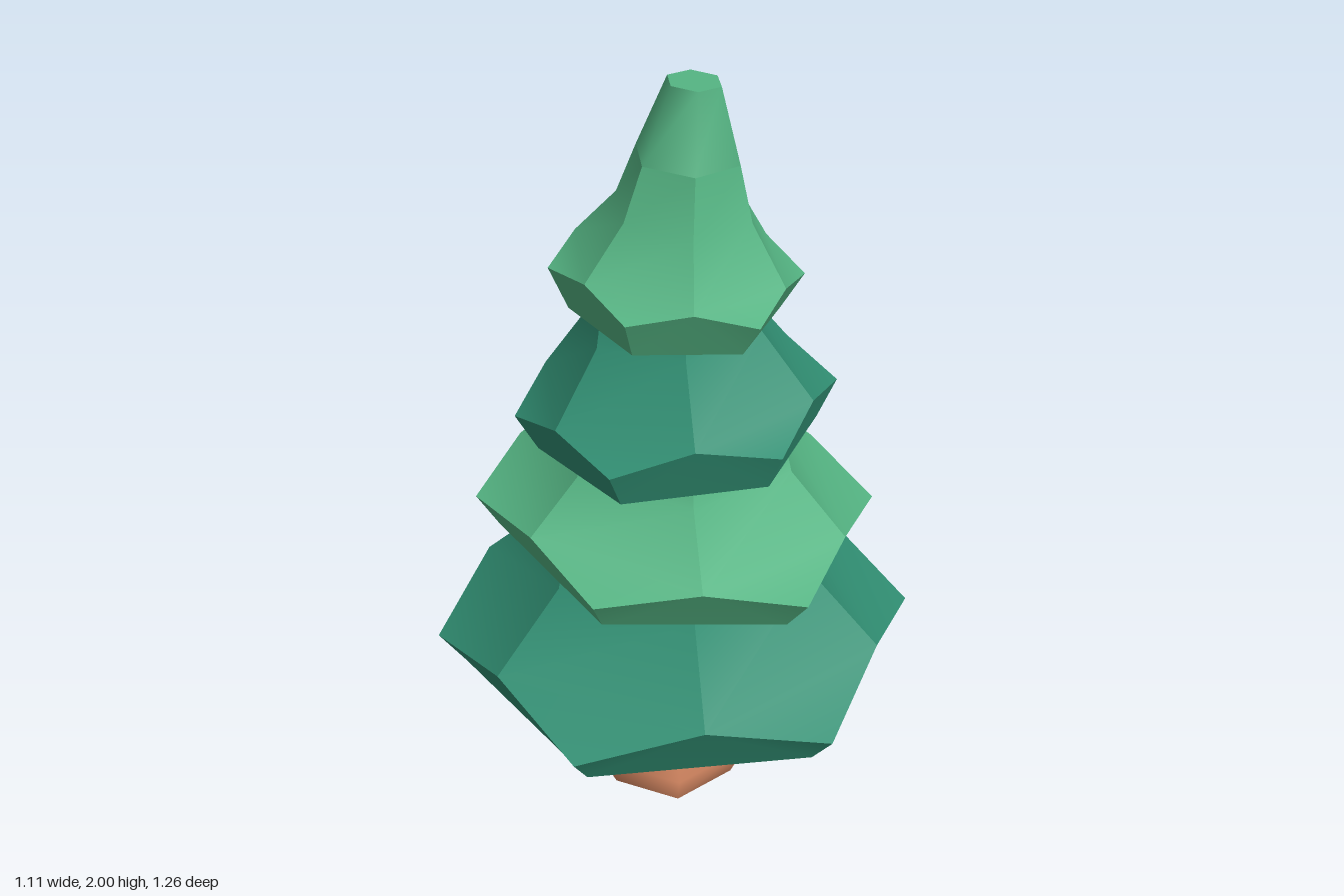
import * as THREE from 'three';
import { mergeGeometries } from 'three/addons/utils/BufferGeometryUtils.js';

// A ring is { r, y, x, s }: radius, height, sideways shift, slope along x
const ring = (r, y, x = 0, s = 0) => ({ r, y, x, s });

function at(g, deg) {
  const a = THREE.MathUtils.degToRad(deg);
  const dx = g.r * Math.sin(a);
  return [g.x + dx, g.y + g.s * dx, g.r * Math.cos(a)];
}

// Small patch, smooth inside and sharp at its border
function patch(points, index) {
  const geo = new THREE.BufferGeometry();
  geo.setAttribute('position', new THREE.Float32BufferAttribute(points.flat(), 3));
  geo.setIndex(index);
  geo.computeVertexNormals();
  return geo;
}

// Flat six-sided end facing up or down
function cap(g, start, up) {
  const pts = [[g.x, g.y, 0]];
  const index = [];
  for (let k = 0; k < 6; k++) {
    pts.push(at(g, start + k * 60));
    const a = k + 1, b = ((k + 1) % 6) + 1;
    index.push(0, ...(up ? [a, b] : [b, a]));
  }
  return patch(pts, index);
}

// Six-sided wall through several rings, smooth all round
function wall(rings, start) {
  const pts = [];
  const index = [];
  rings.forEach((g, j) => {
    for (let k = 0; k < 6; k++) {
      pts.push(at(g, start + k * 60));
      if (j === 0) continue;
      const a = (j - 1) * 6 + k, b = (j - 1) * 6 + ((k + 1) % 6);
      index.push(a, b, b + 6, a, b + 6, a + 6);
    }
  });
  return patch(pts, index);
}

// Faceted skirt: low corners, raised edge middles, turned hexagon above
function skirt({ base, corner, mid, shoulder, neck }) {
  const parts = [cap(base, 0, false)];
  for (let a = 0; a < 360; a += 60) {
    const l = a - 30, r = a + 30, n = a + 60;
    parts.push(patch(
      [at(mid, l), at(corner, a), at(mid, r), at(shoulder, l), at(shoulder, r), at(neck, l), at(neck, r)],
      [0, 1, 2, 0, 2, 4, 0, 4, 3, 3, 4, 6, 3, 6, 5]));
    parts.push(patch(
      [at(base, a), at(base, n), at(corner, n), at(mid, r), at(corner, a)],
      [0, 1, 3, 1, 2, 3, 0, 3, 4]));
  }
  return mergeGeometries(parts);
}

export function createModel() {
  const material = (name, color) => {
    const m = new THREE.MeshStandardMaterial({ color });
    m.name = name;
    return m;
  };
  const dark = material('dark green', 0x318f73);
  const light = material('light green', 0x54b382);
  const bark = material('bark', 0xd98a64);

  const tree = new THREE.Group();
  tree.name = 'tree';
  const add = (name, geo, mat) => {
    const mesh = new THREE.Mesh(geo, mat);
    mesh.name = name;
    tree.add(mesh);
  };

  // Trunk with a swollen foot
  const trunk = [
    ring(0.185, 0, -0.018), ring(0.23, 0.1, -0.02),
    ring(0.16, 0.25, -0.02), ring(0.147, 0.44, -0.02),
  ];
  add('trunk', mergeGeometries([wall(trunk, 30), cap(trunk[0], 30, false)]), bark);

  // Foliage tiers, alternately tilted
  add('bottomTier', skirt({
    base: ring(0.56, 0.4),
    corner: ring(0.63, 0.495),
    mid: ring(0.557, 0.57),
    shoulder: ring(0.365, 0.755),
    neck: ring(0.335, 0.88),
  }), dark);
  add('lowerMiddleTier', skirt({
    base: ring(0.45, 0.795, -0.002, -0.115),
    corner: ring(0.51, 0.885, 0.006, -0.1),
    mid: ring(0.447, 0.925, 0.008, -0.1),
    shoulder: ring(0.303, 1.055, 0.005, -0.06),
    neck: ring(0.28, 1.14, 0.005, -0.03),
  }), light);
  add('upperMiddleTier', skirt({
    base: ring(0.35, 1.08, 0.008, 0.067),
    corner: ring(0.4, 1.178, 0.004, 0.065),
    mid: ring(0.355, 1.225, 0, 0.068),
    shoulder: ring(0.225, 1.395, -0.005, 0.06),
    neck: ring(0.21, 1.48, -0.005),
  }), dark);

  // Crown, bending gently to one side as it rises
  const bend = ring(0.128, 1.82, 0.03, -0.05);
  const tip = ring(0.065, 1.995, 0.045, -0.07);
  add('topTier', skirt({
    base: ring(0.255, 1.427, 0, -0.07),
    corner: ring(0.305, 1.525, 0.006, -0.1),
    mid: ring(0.268, 1.557, 0.008, -0.1),
    shoulder: ring(0.17, 1.69, 0.02, -0.07),
    neck: bend,
  }), light);
  add('treeTip', mergeGeometries([wall([bend, tip], 30), cap(tip, 30, true)]), light);

  return tree;
}
